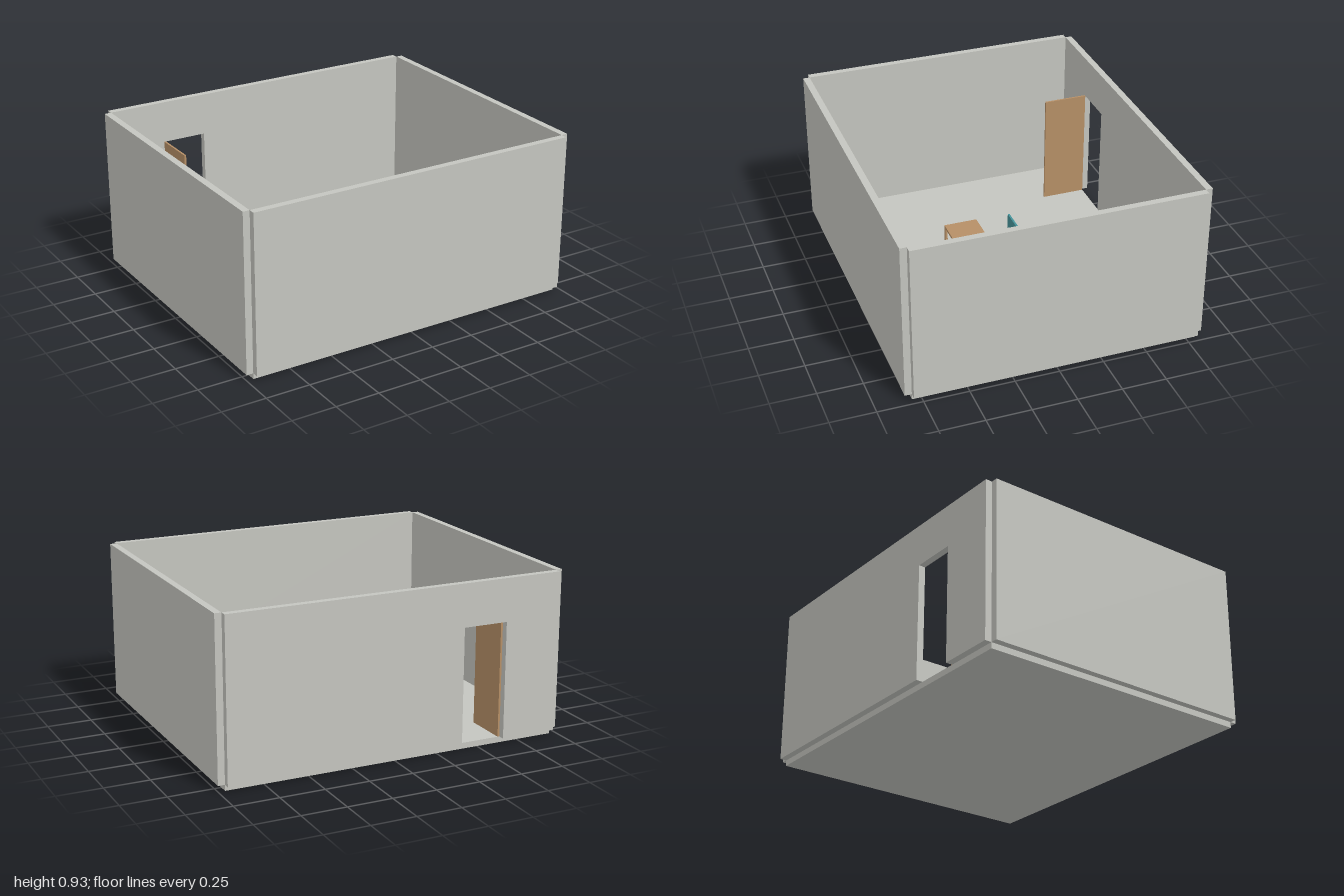
import * as THREE from 'three';

const mat = (name, color) => {
  const m = new THREE.MeshStandardMaterial({ color });
  m.name = name;
  return m;
};

export function createModel() {
  const plaster = mat('plaster grey', 0xc4c5bf);
  const wood = mat('wood brown', 0xb68f66);
  const teal = mat('chair teal', 0x46939a);

  const FLOOR = 0.033, TOP = 0.93, HX = 0.962, HZ = 0.801, T = 0.038;
  const room = new THREE.Group();
  room.name = 'room';

  // Box given by its minimum and maximum corners
  const box = (parent, name, material, [x0, y0, z0], [x1, y1, z1]) => {
    const mesh = new THREE.Mesh(new THREE.BoxGeometry(x1 - x0, y1 - y0, z1 - z0), material);
    mesh.position.set((x0 + x1) / 2, (y0 + y1) / 2, (z0 + z1) / 2);
    mesh.name = name;
    parent.add(mesh);
    return mesh;
  };

  // Four square legs inside a rectangular footprint
  const legs = (parent, name, material, hx, z0, z1, y1, size) => {
    for (const x of [-hx, hx - size]) {
      for (const z of [z0, z1 - size]) {
        box(parent, name, material, [x, FLOOR, z], [x + size, y1, z + size]);
      }
    }
  };

  // Floor, side walls and front wall
  box(room, 'floor', plaster, [-HX, 0, -HZ], [HX, FLOOR, HZ]);
  box(room, 'leftWall', plaster, [HX, FLOOR, -HZ], [HX + T, TOP, HZ]);
  box(room, 'rightWall', plaster, [-HX - T, FLOOR, -HZ], [-HX, TOP, HZ]);
  box(room, 'frontWall', plaster, [-HX, FLOOR, HZ], [HX, TOP, HZ + T]);

  // Back wall with a doorway reaching the floor
  const doorX0 = -0.641, doorX1 = -0.385, doorTop = 0.69;
  const outline = new THREE.Shape([
    [-HX, FLOOR], [doorX0, FLOOR], [doorX0, doorTop], [doorX1, doorTop],
    [doorX1, FLOOR], [HX, FLOOR], [HX, TOP], [-HX, TOP],
  ].map(([x, y]) => new THREE.Vector2(x, y)));
  const backWall = new THREE.Mesh(
    new THREE.ExtrudeGeometry(outline, { depth: T, bevelEnabled: false }), plaster);
  backWall.position.z = -HZ - T;
  backWall.name = 'backWall';
  room.add(backWall);

  // Door leaf standing open into the room
  box(room, 'door', wood, [doorX0, FLOOR, -HZ], [doorX0 + 0.011, doorTop, -HZ + 0.254]);

  // Desk
  const desk = new THREE.Group();
  desk.name = 'desk';
  box(desk, 'deskTop', wood, [-0.16, 0.26, 0.06], [0.16, 0.274, 0.252]);
  legs(desk, 'deskLeg', wood, 0.16, 0.06, 0.252, 0.26, 0.014);
  room.add(desk);

  // Chair facing the desk
  const chair = new THREE.Group();
  chair.name = 'chair';
  box(chair, 'seat', teal, [-0.08, 0.161, -0.115], [0.08, 0.177, 0.045]);
  box(chair, 'backrest', teal, [-0.08, 0.177, -0.115], [0.08, 0.32, -0.104]);
  legs(chair, 'chairLeg', teal, 0.08, -0.115, 0.045, 0.161, 0.012);
  room.add(chair);

  return room;
}
